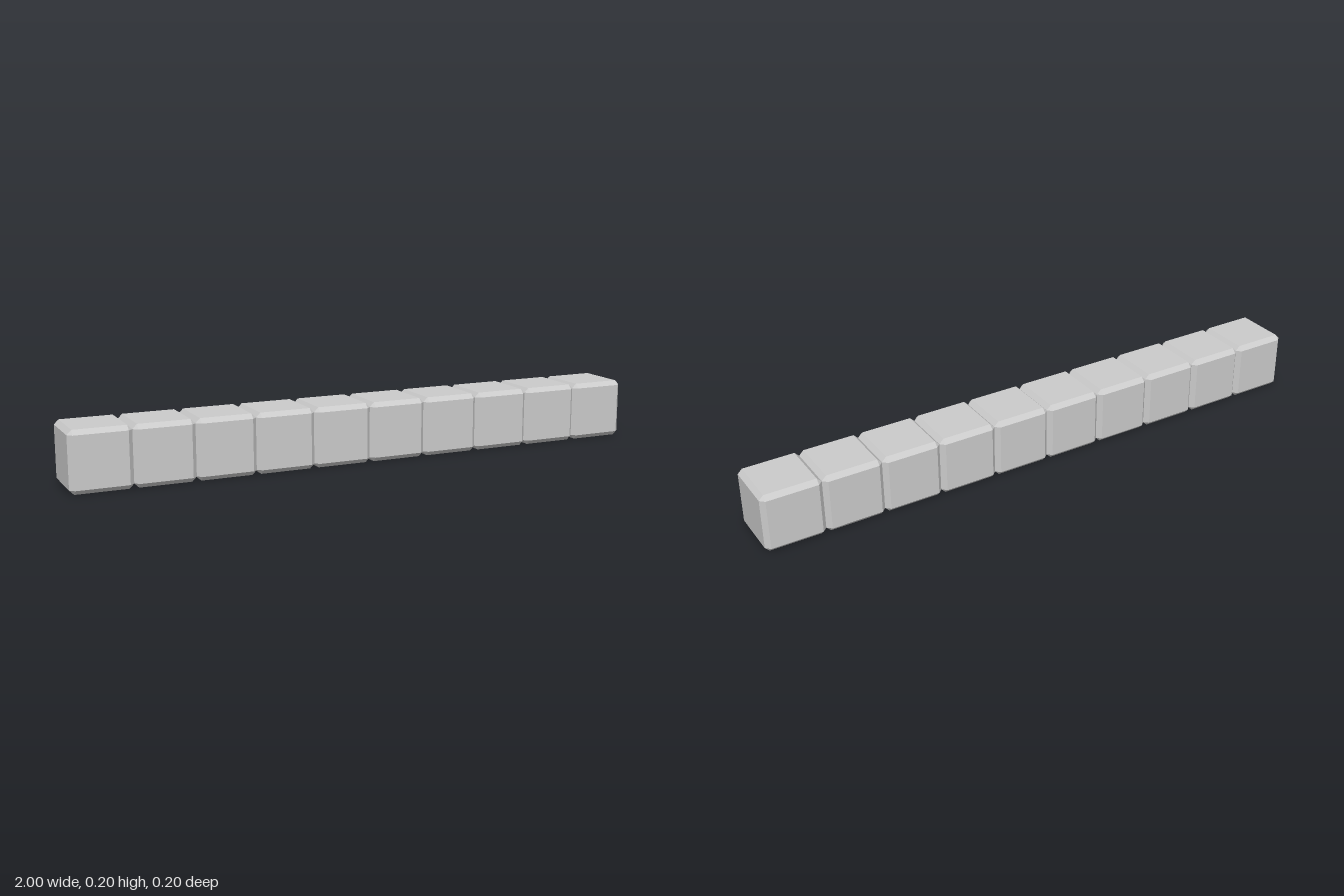
import * as THREE from 'three';
import { ConvexGeometry } from 'three/addons/geometries/ConvexGeometry.js';

const COUNT = 10;
const SIZE = 0.2;
const BEVEL = 0.015;

// Cube with flat bevels on every edge and a small triangle at each corner
function beveledCube(size, bevel) {
  const outer = size / 2;
  const inner = outer - bevel;
  const points = [];
  for (const x of [-1, 1]) for (const y of [-1, 1]) for (const z of [-1, 1]) {
    points.push(
      new THREE.Vector3(x * outer, y * inner, z * inner),
      new THREE.Vector3(x * inner, y * outer, z * inner),
      new THREE.Vector3(x * inner, y * inner, z * outer),
    );
  }
  return new ConvexGeometry(points);
}

export function createModel() {
  const model = new THREE.Group();
  model.name = 'blockRow';
  const material = new THREE.MeshStandardMaterial({ color: 0xcccccc, flatShading: true });
  const geometry = beveledCube(SIZE, BEVEL);

  // Row of touching blocks along x
  for (let i = 0; i < COUNT; i++) {
    const block = new THREE.Mesh(geometry, material);
    block.name = `block${i + 1}`;
    block.position.set((i - (COUNT - 1) / 2) * SIZE, SIZE / 2, 0);
    model.add(block);
  }
  return model;
}
